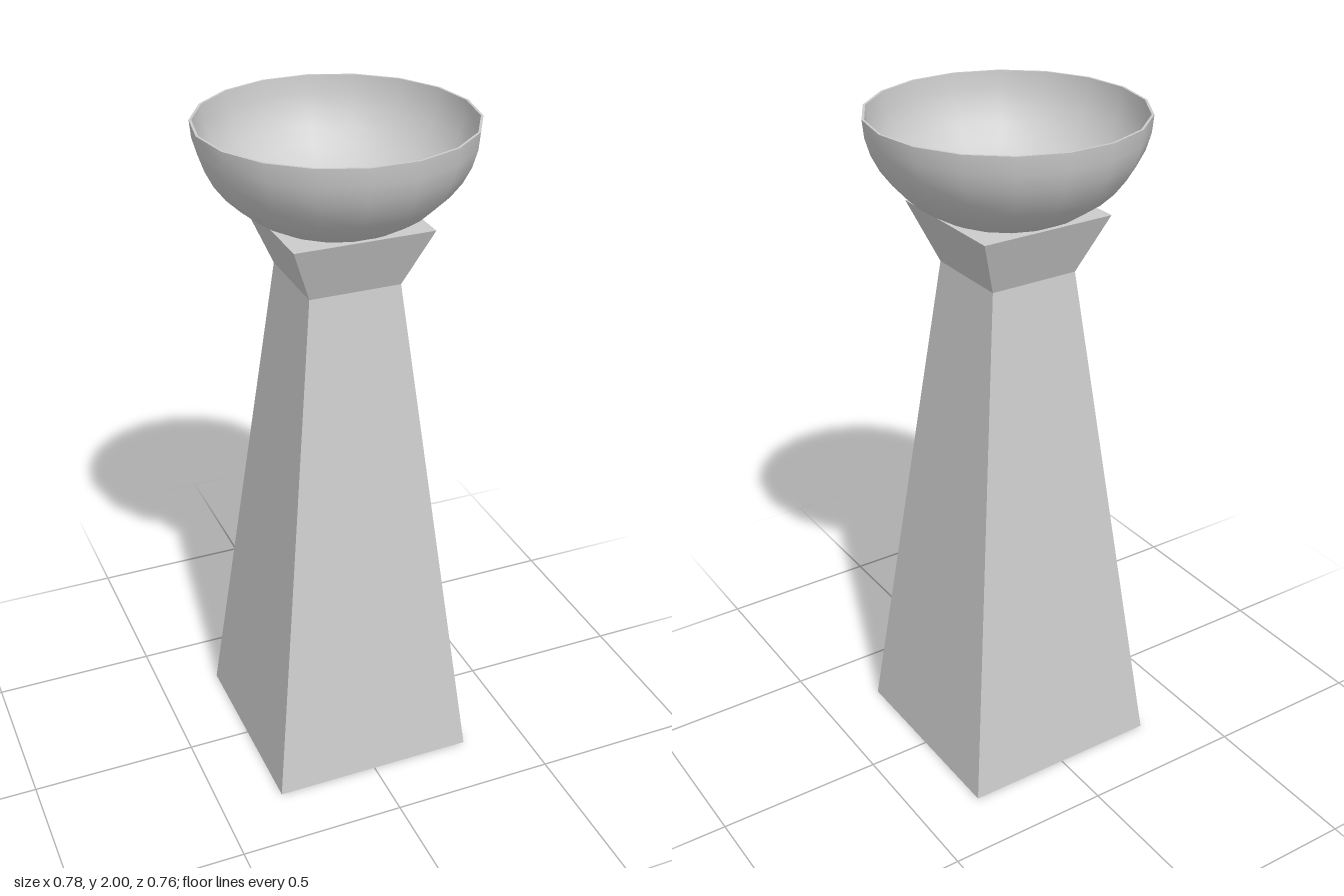
import * as THREE from 'three';
import { toCreasedNormals } from 'three/addons/utils/BufferGeometryUtils.js';

const V = (x, y) => new THREE.Vector2(x, y);

// Square block turned from a profile of [half width, height] pairs
function squareBlock(name, profile) {
  const points = profile.map(([half, y]) => V(half * Math.SQRT2, y));
  const mesh = new THREE.Mesh(
    new THREE.LatheGeometry(points, 4, Math.PI / 4),
    new THREE.MeshStandardMaterial({ color: 0xcccccc, flatShading: true })
  );
  mesh.name = name;
  return mesh;
}

// Quarter ellipse from the bottom centre up to the rim
function bowlCurve(radius, depth, rimY, steps) {
  return Array.from({ length: steps + 1 }, (_, i) => {
    const a = (i / steps) * Math.PI / 2;
    return V(radius * Math.sin(a), rimY - depth * Math.cos(a));
  });
}

export function createModel() {
  const model = new THREE.Group();
  model.name = 'pedestalBowl';

  // Tapered column and flared capital
  model.add(squareBlock('column', [[0, 0], [0.31, 0], [0.135, 1.555]]));
  model.add(squareBlock('capital', [[0.135, 1.555], [0.203, 1.727], [0, 1.727]]));

  // Thin 18-sided bowl, its rounded bottom sunk into the capital
  const outer = bowlCurve(0.388, 0.315, 2, 10);
  const inner = bowlCurve(0.381, 0.308, 2, 10).reverse();
  const bowl = new THREE.Mesh(
    toCreasedNormals(new THREE.LatheGeometry([...outer, ...inner], 18, Math.PI / 2), 0.8),
    new THREE.MeshStandardMaterial({ color: 0xcccccc })
  );
  bowl.name = 'bowl';
  model.add(bowl);

  return model;
}
